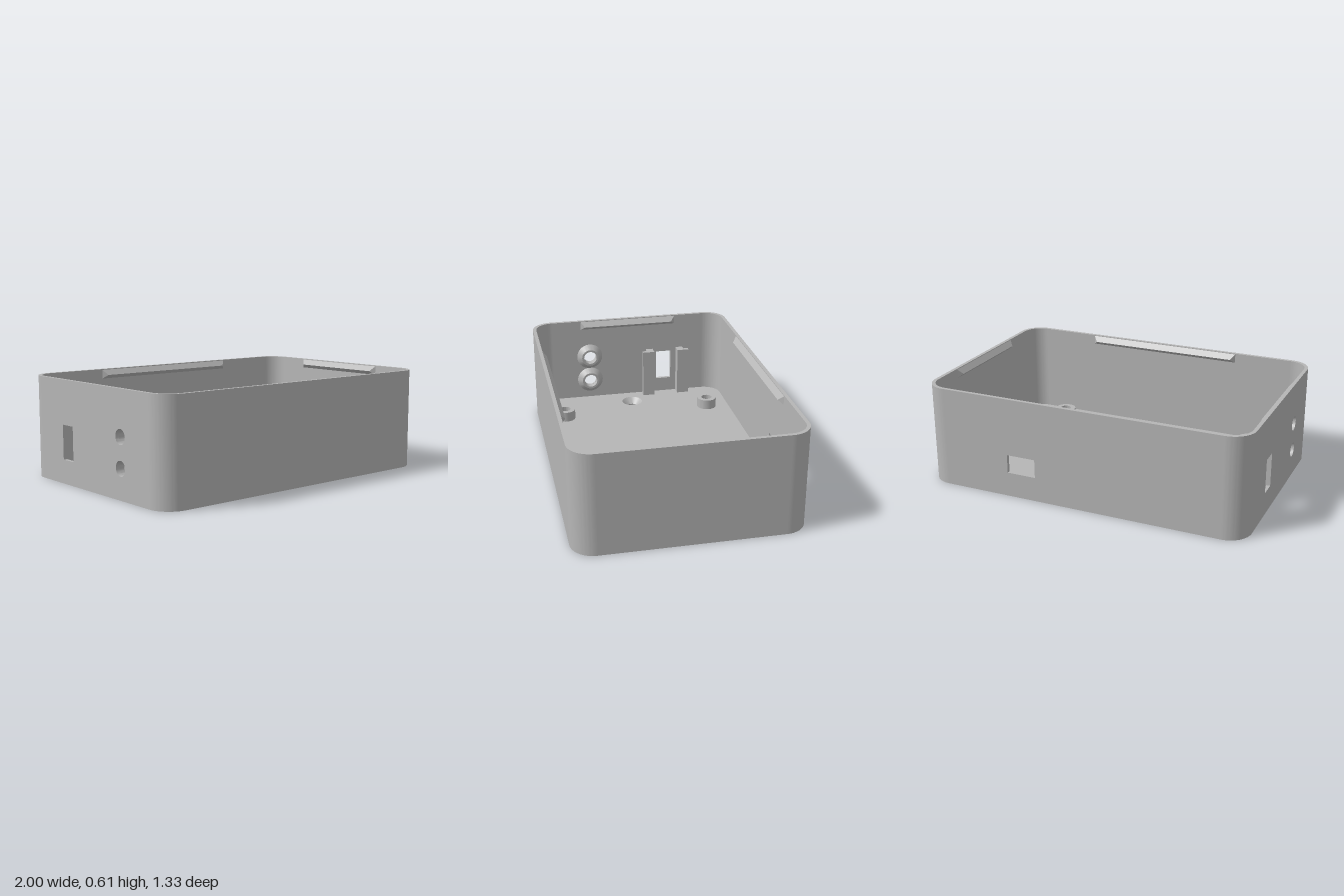
import * as THREE from 'three';
import { toCreasedNormals } from 'three/addons/utils/BufferGeometryUtils.js';
import { ConvexGeometry } from 'three/addons/geometries/ConvexGeometry.js';

const HX = 1, HZ = 0.665, H = 0.61; // half length, half depth, height
const R = 0.135, T = 0.022, FLOOR = 0.045; // corner radius, wall, floor

export function createModel() {
  const group = new THREE.Group();
  const grey = new THREE.MeshStandardMaterial({ color: 0xb6b6b6 });
  grey.name = 'grey plastic';

  const add = (name, geometry, x = 0, y = 0, z = 0) => {
    const mesh = new THREE.Mesh(geometry, grey);
    mesh.name = name;
    mesh.position.set(x, y, z);
    group.add(mesh);
    return mesh;
  };
  const extrude = (shape, depth) => toCreasedNormals(
    new THREE.ExtrudeGeometry(shape, { depth, bevelEnabled: false, curveSegments: 14 }), 0.6);
  const upright = (shape, height) => extrude(shape, height).rotateX(-Math.PI / 2);
  const lathe = (points) => toCreasedNormals(
    new THREE.LatheGeometry(points.map(([r, y]) => new THREE.Vector2(r, y)), 36), 0.4);
  const circle = (x, y, r) => new THREE.Path().absarc(x, y, r, 0, Math.PI * 2, true);
  const rect = (path, x0, y0, x1, y1) => {
    path.moveTo(x0, y0).lineTo(x1, y0).lineTo(x1, y1).lineTo(x0, y1).closePath();
    return path;
  };

  // Floor plate with openings for the screw inserts
  const mounts = [];
  for (const sx of [-1, 1]) for (const sz of [-1, 1]) mounts.push([sx * 0.656, sz * 0.492]);
  const plate = new THREE.Shape();
  const corners = [[1, 1], [-1, 1], [-1, -1], [1, -1]];
  corners.forEach(([sx, sz], i) => plate.absarc(
    sx * (HX - R), sz * (HZ - R), R - T, i * Math.PI / 2, (i + 1) * Math.PI / 2, false));
  plate.closePath();
  for (const [x, z] of mounts) plate.holes.push(circle(x, z, 0.06));
  for (const sx of [-1, 1]) plate.holes.push(circle(sx * 0.835, 0, 0.07));
  add('floor', upright(plate, FLOOR));

  // Standoffs, countersunk from below
  const standoff = lathe([[0.06, 0], [0.06, FLOOR], [0.065, FLOOR], [0.065, 0.11], [0.035, 0.11],
    [0.035, 0.075], [0.03, 0.075], [0.03, 0.04], [0.06, 0]]);
  for (const [x, z] of mounts) add('standoff', standoff, x, 0, z);

  // Mounting holes, countersunk from above
  const sink = lathe([[0.033, 0], [0.07, 0], [0.07, FLOOR], [0.033, 0.008], [0.033, 0]]);
  for (const sx of [-1, 1]) add('countersunkHole', sink, sx * 0.835);

  // Straight walls, with port openings at the back and on one side
  const panel = (half, holes = []) => {
    const shape = rect(new THREE.Shape(), -half, 0, half, H);
    shape.holes.push(...holes);
    return extrude(shape, T);
  };
  const lights = [0.349, 0.176];
  add('frontWall', panel(HX - R), 0, 0, HZ - T);
  add('backWall', panel(HX - R, [rect(new THREE.Path(), 0.27, 0.15, 0.45, 0.262)]), 0, 0, -HZ);
  add('leftWall', panel(HZ - R).rotateY(-Math.PI / 2), HX);
  add('rightWall', panel(HZ - R, [
    rect(new THREE.Path(), -0.305, 0.142, -0.2, 0.347),
    ...lights.map((y) => circle(0.272, y, 0.044)),
  ]).rotateY(-Math.PI / 2), -HX + T);

  // Rounded wall corners
  corners.forEach(([sx, sz], i) => {
    const a = i * Math.PI / 2, b = a + Math.PI / 2;
    const shape = new THREE.Shape();
    shape.absarc(sx * (HX - R), sz * (HZ - R), R, a, b, false);
    shape.absarc(sx * (HX - R), sz * (HZ - R), R - T, b, a, true);
    shape.closePath();
    add('wallCorner', upright(shape, H));
  });

  // Tapered collars behind the round holes
  const collar = lathe([[0.044, 0], [0.088, 0], [0.058, 0.033], [0.044, 0.033], [0.044, 0]])
    .rotateZ(-Math.PI / 2);
  for (const y of lights) add('lightCollar', collar, -HX + T, y, 0.272);

  // Switch brackets on both sides of the slot
  for (const s of [-1, 1]) {
    const pts = [[-0.978, 0.083], [-0.915, 0.083], [-0.915, 0.163], [-0.942, 0.163],
      [-0.942, 0.131], [-0.978, 0.131]];
    const shape = new THREE.Shape(pts.map(([x, d]) => new THREE.Vector2(x, 0.259 - s * d)));
    add('switchBracket', upright(shape, 0.37 - FLOOR), 0, FLOOR, 0);
  }

  // Snap ridges just below the rim
  const ridge = (half) => {
    const pts = [];
    for (const s of [-1, 1]) {
      pts.push(new THREE.Vector3(s * half, 0.605, 0), new THREE.Vector3(s * half, 0.55, 0),
        new THREE.Vector3(s * (half - 0.028), 0.573, 0.028));
    }
    return new ConvexGeometry(pts);
  };
  const long = ridge(0.5), short = ridge(0.33);
  add('snapRidge', long, 0, 0, -HZ + T);
  add('snapRidge', long, 0, 0, HZ - T).rotation.y = Math.PI;
  add('snapRidge', short, -HX + T).rotation.y = Math.PI / 2;
  add('snapRidge', short, HX - T).rotation.y = -Math.PI / 2;

  return group;
}
